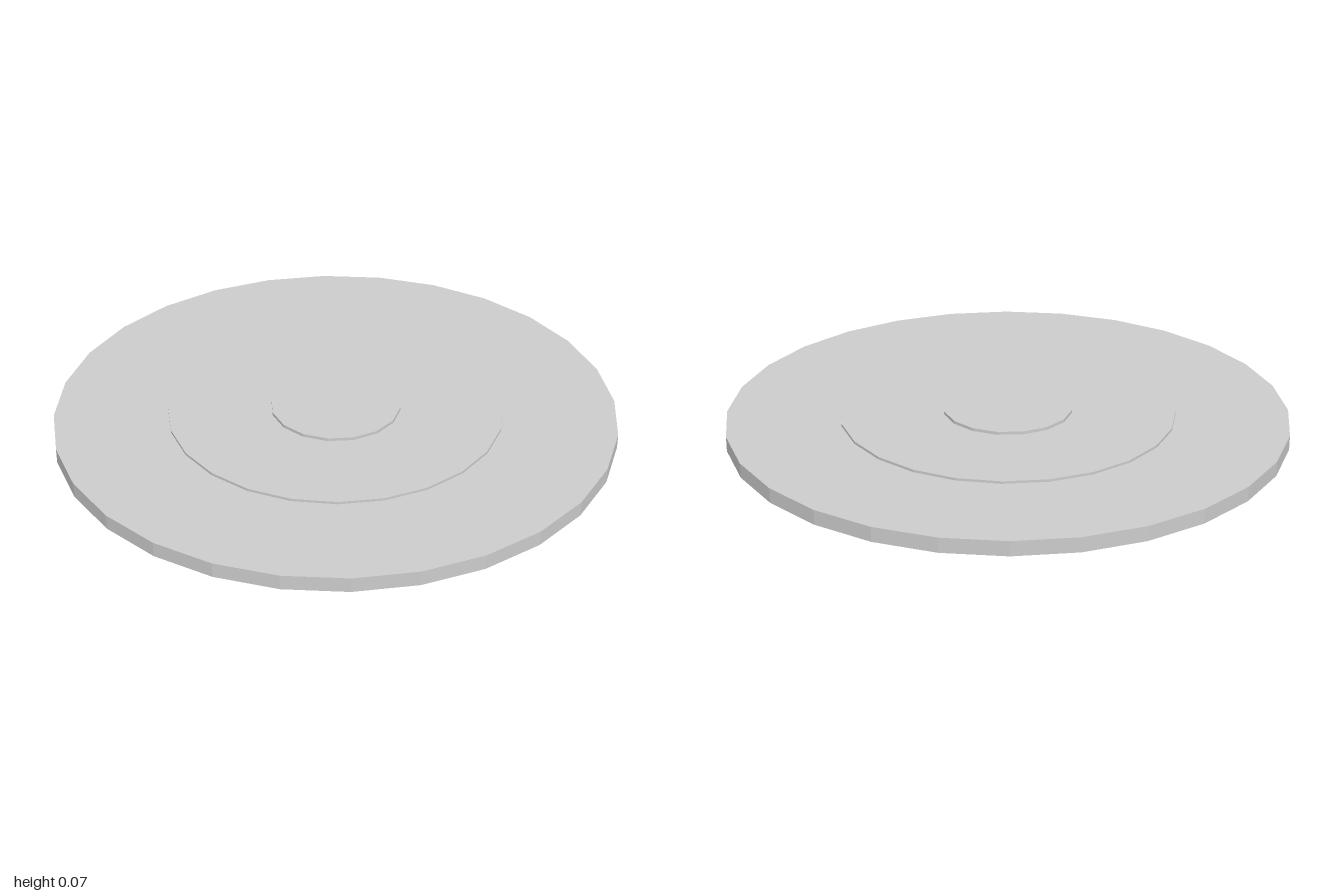
import * as THREE from 'three';

export function createModel() {
  const model = new THREE.Group();
  const material = new THREE.MeshStandardMaterial({ color: 0xcccccc, flatShading: true });

  // Adds a faceted disc that spans from y = bottom to y = top
  function addDisc(name, radius, bottom, top, sides) {
    const geometry = new THREE.CylinderGeometry(radius, radius, top - bottom, sides);
    const disc = new THREE.Mesh(geometry, material);
    disc.name = name;
    disc.position.y = (bottom + top) / 2;
    model.add(disc);
  }

  // Stepped plate: wide base, thin raised ring step, small centre cap
  addDisc('baseDisc', 1, 0, 0.053, 28);
  addDisc('middleDisc', 0.597, 0.053, 0.062, 24);
  addDisc('centreDisc', 0.231, 0.062, 0.073, 16);

  return model;
}
